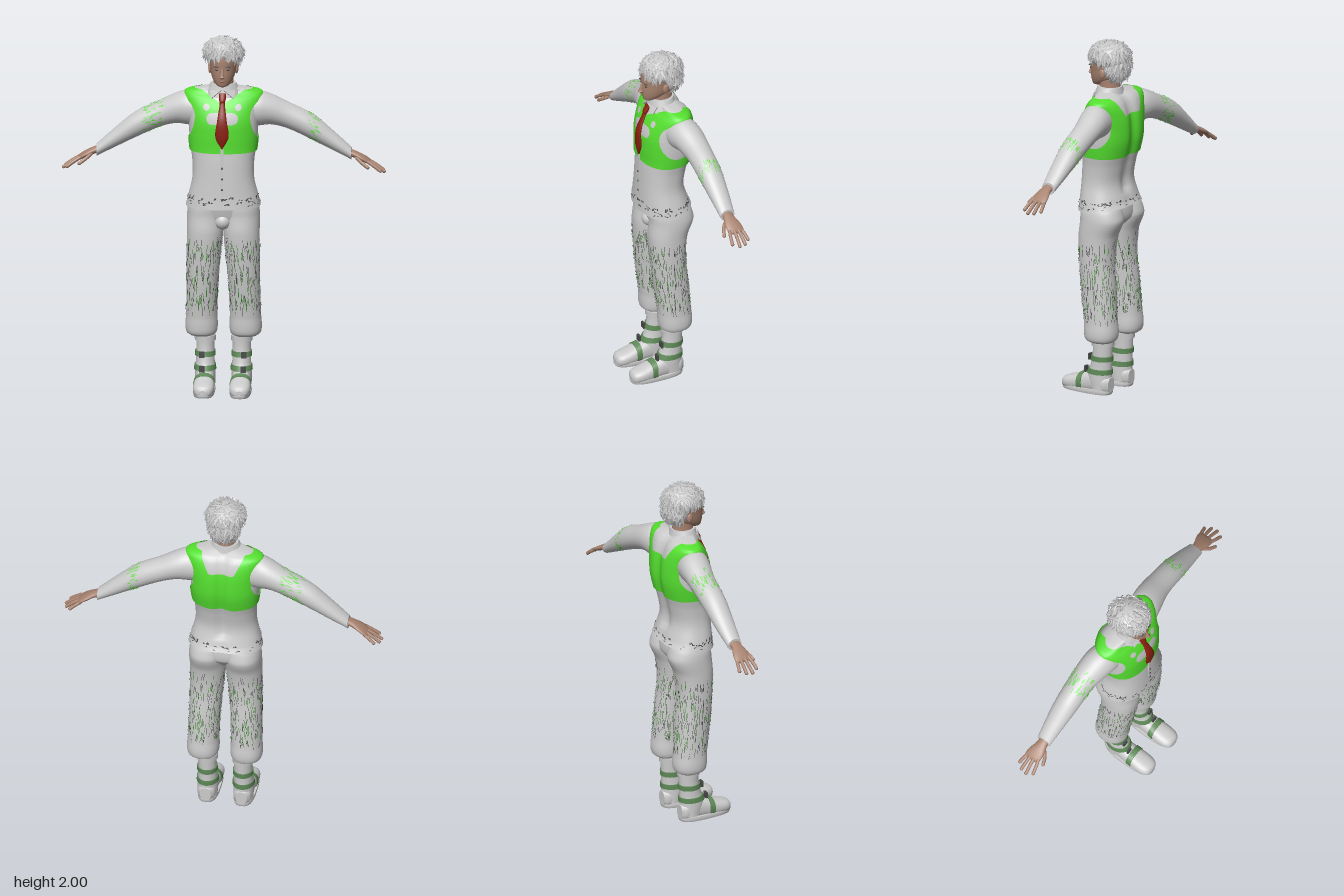
import * as THREE from 'three';
import { mergeGeometries, mergeVertices } from 'three/addons/utils/BufferGeometryUtils.js';

const V = (x, y, z) => new THREE.Vector3(x, y, z);
const mat = (color, side = THREE.FrontSide) => new THREE.MeshStandardMaterial({ color, side });
const CLOTH = mat(0xcccccc), HAIR = mat(0xcccccc, THREE.DoubleSide), SKIN = mat(0xa88370), GREEN = mat(0x55e030, THREE.DoubleSide);
const RED = mat(0x8a1f10), FLECK = mat(0x3f8a30, THREE.DoubleSide), DARK = mat(0x4a4a4a, THREE.DoubleSide), STRAP = mat(0x5f8a58);

let seed = 7;
const rnd = () => (seed = (seed * 16807) % 2147483647) / 2147483647;
const span = (a, b) => a + (b - a) * rnd();

// Smooth surface through rows [t, a, b, ra, rb]; t runs along the axis, a and b are the section's centre
const place = { x: (t, a, b) => V(t, b, a), y: (t, a, b) => V(a, t, b), z: (t, a, b) => V(b, a, t) };
function surface(rows, axis = 'y', n = 2, warp = p => p) {
  const slope = (k, c) => {
    const p = rows[Math.max(k - 1, 0)], q = rows[Math.min(k + 1, rows.length - 1)];
    return (q[c] - p[c]) / (q[0] - p[0]);
  };
  const f = (t, u, off = 0) => {
    let k = 0;
    while (k < rows.length - 2 && t > rows[k + 1][0]) k++;
    const h = rows[k + 1][0] - rows[k][0], w = (t - rows[k][0]) / h, w2 = w * w, w3 = w2 * w;
    const [a, b, ra, rb] = [1, 2, 3, 4].map(c => (2 * w3 - 3 * w2 + 1) * rows[k][c] + (w3 - 2 * w2 + w) * h * slope(k, c)
      + (3 * w2 - 2 * w3) * rows[k + 1][c] + (w3 - w2) * h * slope(k + 1, c));
    const e = x => Math.sign(x) * Math.abs(x) ** (2 / n);
    return warp(place[axis](t, a + e(Math.cos(u)) * (ra + off), b + e(Math.sin(u)) * (rb + off)));
  };
  f.rows = rows;
  return f;
}

// Closed skin over a surface, optionally only a band t0..t1 raised by off
function loft(f, { seg = 32, steps = 5, t0, t1, off = 0 } = {}) {
  const ts = [];
  if (t0 !== undefined) for (let i = 0; i <= steps; i++) ts.push(t0 + (t1 - t0) * i / steps);
  else {
    f.rows.slice(1).forEach((r, k) => { for (let i = 0; i < steps; i++) ts.push(f.rows[k][0] + (r[0] - f.rows[k][0]) * i / steps); });
    ts.push(f.rows.at(-1)[0]);
  }
  const pos = [], idx = [];
  const ring = t => { for (let j = 0; j < seg; j++) pos.push(...f(t, j / seg * Math.PI * 2, off)); };
  ts.forEach(ring);
  for (let i = 0; i < ts.length - 1; i++) for (let j = 0; j < seg; j++) {
    const a = i * seg + j, b = i * seg + (j + 1) % seg;
    idx.push(a, a + seg, b, b, a + seg, b + seg);
  }
  [ts[0], ts.at(-1)].forEach((t, top) => {
    const s = pos.length / 3;
    ring(t);
    pos.push(...f(t, 0, off).add(f(t, Math.PI, off)).multiplyScalar(0.5));
    for (let j = 0; j < seg; j++) {
      const k = s + (j + 1) % seg;
      top ? idx.push(s + seg, k, s + j) : idx.push(s + seg, s + j, k);
    }
  });
  return build(pos, idx);
}
function build(pos, idx) {
  let g = new THREE.BufferGeometry();
  g.setAttribute('position', new THREE.Float32BufferAttribute(pos, 3));
  if (idx) g.setIndex(idx); else g = mergeVertices(g, 1e-5);
  g.computeVertexNormals();
  return g;
}
function mirrored(g) {
  const m = g.clone().scale(-1, 1, 1), i = m.index.array;
  for (let k = 0; k < i.length; k += 3) [i[k], i[k + 1]] = [i[k + 1], i[k]];
  m.computeVertexNormals();
  return m;
}
// Part of a surface where field > 0, with cleanly cut edges
function cutPatch(f, field, t0, t1, off, nt = 60, nu = 144) {
  const pos = [], P = (i, j) => f(t0 + (t1 - t0) * i / nt, j / nu * Math.PI * 2, off);
  const clip = tri => {
    const d = tri.map(field), out = [];
    tri.forEach((p, k) => {
      const m = (k + 1) % 3;
      if (d[k] > 0) out.push(p);
      if (d[k] > 0 !== d[m] > 0) out.push(p.clone().lerp(tri[m], d[k] / (d[k] - d[m])));
    });
    for (let k = 1; k < out.length - 1; k++) pos.push(...out[0], ...out[k], ...out[k + 1]);
  };
  for (let i = 0; i < nt; i++) for (let j = 0; j < nu; j++) {
    const a = P(i, j), b = P(i, j + 1), c = P(i + 1, j), d = P(i + 1, j + 1);
    clip([a, c, b]); clip([b, c, d]);
  }
  return build(pos);
}
// Thin scattered marks lying on a surface
function flecks(f, count, t0, t1, len, width) {
  const pos = [];
  for (let k = 0; k < count; k++) {
    const t = span(t0, t1 - len), u = span(0, Math.PI * 2), l = len * span(0.4, 1), s = span(-0.08, 0.08);
    const a = f(t, u, 0.003), b = f(t, u + width, 0.003), c = f(t + l, u + s, 0.003), d = f(t + l, u + s + width, 0.003);
    pos.push(...a, ...c, ...b, ...b, ...c, ...d);
  }
  return build(pos);
}
const ball = (x, y, z, rx, ry, rz) => new THREE.SphereGeometry(1, 24, 16).scale(rx, ry, rz).translate(x, y, z);

export function createModel() {
  const model = new THREE.Group();
  const add = (name, geo, m = CLOTH) => { const o = new THREE.Mesh(geo, m); o.name = name; model.add(o); return o; };
  const pair = (name, geo, m = CLOTH) => { add('left' + name, geo, m); add('right' + name, mirrored(geo), m); };

  // Jacket, with a groove down the back
  const torso = surface([[1.045, 0, -.035, .205, .145], [1.1, 0, -.03, .193, .135], [1.2, 0, -.02, .17, .12], [1.3, 0, -.03, .17, .125],
    [1.37, 0, -.042, .18, .132], [1.45, 0, -.05, .188, .14], [1.53, 0, -.053, .192, .138], [1.6, 0, -.06, .2, .123],
    [1.655, 0, -.067, .21, .098], [1.685, 0, -.07, .2, .073], [1.7, 0, -.06, .15, .06], [1.712, 0, -.045, .08, .055]], 'y', 2.3,
  p => { if (p.z < -.06) p.z += .02 * Math.exp(-((p.x / .035) ** 2)) * (p.y > 1.15 ? 1 : .3); if (p.y < 1.1 && p.z < 0) p.y -= p.z * .15 * (1.1 - p.y) / .055; return p; });
  add('jacket', loft(torso, { seg: 64 }));
  add('hemMarks', flecks(torso, 110, 1.06, 1.12, .012, .05), DARK);
  add('placket', new THREE.BoxGeometry(.014, .3, .006).translate(0, 1.2, .1));
  add('jacketTab', new THREE.BoxGeometry(.016, .09, .012).translate(0, 1.345, .097));
  for (const y of [1.1, 1.16, 1.22, 1.28]) add('button', ball(0, y, .105, .006, .006, .004), DARK);

  // Chest harness with armholes, necklines and front openings
  add('harness', cutPatch(torso, p => {
    const x = Math.abs(p.x), y = p.y, out = [y - 1.36];
    if (x > .09) out.push((Math.hypot((p.z + .05) / .1, (y - 1.535) / .115) - 1) * .1);
    if (p.z > -.06) {
      out.push(1.63 + .6 * x - y, Math.hypot(x - .088, y - 1.615) - .018);
      out.push(Math.hypot(Math.max(x - .055, 0), y - 1.555) - .032);
    } else out.push(Math.max(1.6 - y, x - .07 - (y - 1.6) * .5));
    return Math.min(...out);
  }, 1.35, 1.7, .008), GREEN);

  // Collar and tie
  add('collar', loft(surface([[1.665, 0, -.035, .1, .085], [1.7, 0, -.035, .086, .075], [1.735, 0, -.035, .07, .068]])));
  const flap = new THREE.Shape([[0, 0], [.065, -.005], [.05, -.05]].map(p => new THREE.Vector2(...p)));
  const flapGeo = mergeVertices(new THREE.ExtrudeGeometry(flap, { depth: .008, bevelEnabled: false }).rotateX(-.4).rotateY(.45).translate(.005, 1.705, .043));
  pair('CollarFlap', flapGeo);
  add('tie', loft(surface([[1.39, 0, .1, .003, .006], [1.455, 0, .104, .036, .01], [1.55, 0, .1, .026, .01], [1.64, 0, .066, .014, .01],
    [1.655, 0, .06, .018, .015], [1.69, 0, .045, .02, .012]]), { seg: 16 }), RED);

  // Sleeves and hands
  const arm = surface([[.13, -.065, 1.575, .085, .09], [.2, -.075, 1.582, .088, .096], [.26, -.085, 1.575, .083, .085], [.35, -.096, 1.54, .072, .074],
    [.49, -.1, 1.472, .066, .072], [.6, -.102, 1.398, .055, .054], [.7, -.102, 1.327, .042, .034]], 'x');
  pair('Sleeve', loft(arm));
  add('leftSleeveMarks', flecks(arm, 80, .46, .54, .03, .05), GREEN);
  add('rightSleeveMarks', mirrored(flecks(arm, 130, .32, .46, .03, .05)), GREEN);
  pair('Palm', loft(surface([[.68, -.102, 1.335, .03, .022], [.72, -.1, 1.322, .032, .02], [.765, -.103, 1.3, .045, .018], [.8, -.107, 1.28, .045, .013],
    [.81, -.107, 1.275, .036, .006]], 'x'), { seg: 20 }), SKIN);
  const fingers = [[[.79, 1.288, -.07], [.83, 1.262, -.06], [.86, 1.24, -.055]], [[.8, 1.285, -.095], [.845, 1.256, -.093], [.88, 1.23, -.09]],
    [[.8, 1.282, -.12], [.84, 1.257, -.123], [.873, 1.232, -.125]], [[.79, 1.282, -.14], [.82, 1.262, -.148], [.848, 1.24, -.155]],
    [[.725, 1.312, -.08], [.755, 1.288, -.052], [.792, 1.262, -.038]]];
  for (const pts of fingers) {
    const path = new THREE.CatmullRomCurve3(pts.map(p => V(...p)));
    const end = path.getPoint(1);
    pair('Finger', mergeGeometries([new THREE.TubeGeometry(path, 8, .0095, 10), ball(end.x, end.y, end.z, .0097, .0097, .0097)]), SKIN);
  }

  // Trousers gathered below the knee
  add('trouserSeat', loft(surface([[.925, 0, -.03, .03, .06], [.96, 0, -.035, .1, .09], [1, 0, -.045, .175, .112], [1.09, 0, -.035, .18, .12]])));
  add('trouserFront', ball(0, .965, .035, .045, .045, .045));
  const leg = surface([[.305, .12, -.06, .065, .07], [.32, .121, -.06, .083, .088], [.36, .121, -.06, .089, .095], [.42, .12, -.056, .086, .093],
    [.6, .115, -.038, .087, .098], [.75, .108, -.024, .093, .098], [.9, .1, -.027, .1, .11], [.99, .099, -.049, .101, .124],
    [1.04, .096, -.045, .098, .12], [1.08, .09, -.04, .09, .11]], 'y', 2.2);
  pair('TrouserLeg', loft(leg));
  pair('TrouserMarks', flecks(leg, 200, .42, .89, .06, .025), FLECK);
  pair('TrouserDarkMarks', flecks(leg, 260, .41, .9, .06, .02), DARK);

  // Boots: shaft, foot, sole and straps
  const shaft = surface([[.03, .1, -.045, .055, .065], [.1, .1, -.035, .056, .072], [.16, .1, -.045, .052, .062], [.24, .1, -.054, .05, .056], [.33, .1, -.056, .052, .058]]);
  const foot = surface([[-.11, .055, .1, .04, .03], [-.085, .056, .1, .052, .048], [0, .062, .1, .06, .051], [.06, .054, .1, .053, .054], [.12, .044, .1, .043, .058],
    [.165, .038, .1, .036, .053], [.19, .034, .1, .027, .038], [.198, .032, .1, .012, .018]], 'z', 2.4);
  pair('BootShaft', loft(shaft));
  pair('BootCuff', loft(shaft, { t0: .275, t1: .305, off: .008 }));
  pair('BootFoot', loft(foot));
  pair('BootSole', loft(surface([[0, .1, .044, .057, .15], [.012, .1, .044, .06, .155], [.026, .1, .044, .059, .154]], 'y', 2.8), { steps: 2 }));
  for (const t of [.19, .115]) pair('AnkleStrap', loft(shaft, { t0: t, t1: t + .028, off: .006, steps: 2 }), STRAP);
  pair('InstepStrap', loft(foot, { t0: .055, t1: .085, off: .004, steps: 2 }), STRAP);
  for (const [y, z] of [[.204, .018], [.129, .045]]) pair('Buckle', new THREE.BoxGeometry(.03, .034, .012).translate(.115, y, z), DARK);

  // Head and face
  add('neck', loft(surface([[1.68, 0, -.04, .058, .06], [1.74, 0, -.035, .055, .06], [1.8, 0, -.035, .056, .062]])), SKIN);
  add('head', loft(surface([[1.73, 0, .045, .015, .02], [1.737, 0, .036, .032, .036], [1.76, 0, .01, .052, .068], [1.79, 0, -.014, .066, .096],
    [1.83, 0, -.026, .074, .108], [1.88, 0, -.032, .08, .115], [1.93, 0, -.036, .075, .105], [1.965, 0, -.04, .03, .05]])), SKIN);
  add('nose', loft(surface([[1.782, 0, .083, .009, .008], [1.79, 0, .088, .014, .016], [1.8, 0, .086, .01, .014], [1.84, 0, .079, .006, .007]]), { seg: 16 }), SKIN);
  add('lips', ball(0, 1.766, .076, .02, .005, .006), mat(0x8f5f55));
  pair('Ear', ball(.073, 1.815, -.03, .01, .028, .018), SKIN);
  pair('Eye', ball(.028, 1.83, .07, .012, .006, .006), DARK);
  pair('Brow', ball(.029, 1.846, .073, .018, .004, .007), DARK);

  // Hair: rounded cap with layered tufts
  const caps = [[0, 1.908, -.036, .106, .078, .116], [0, 1.855, -.078, .086, .095, .078]];
  caps.forEach(c => add('hairCap', ball(...c), HAIR));
  const tufts = [];
  for (let k = 0; k < 380; k++) {
    const back = k % 4 === 0, [, cy, cz, rx, ry, rz] = caps[back ? 1 : 0];
    const h = back ? span(-.75, .3) : span(-.3, .97), a = back ? span(Math.PI, 2 * Math.PI) : span(0, 2 * Math.PI), r = Math.sqrt(1 - h * h);
    const n = V(r * Math.cos(a), h, r * Math.sin(a));
    const p = V(n.x * rx, cy + n.y * ry, cz + n.z * rz);
    const dir = V(span(-.7, .7), -1, span(-.5, .5) + (h > .6 ? .6 : 0)).projectOnPlane(n).normalize().addScaledVector(n, span(.05, .4)).normalize();
    const side = V().crossVectors(dir, n).normalize();
    const m = new THREE.Matrix4().makeBasis(side, dir, V().crossVectors(side, dir)).setPosition(p);
    tufts.push(new THREE.ConeGeometry(.015, span(.04, .065), 5, 2).scale(1, 1, .45).translate(0, .012, 0).applyMatrix4(m));
  }
  add('hairTufts', mergeGeometries(tufts), HAIR);
  return model;
}
